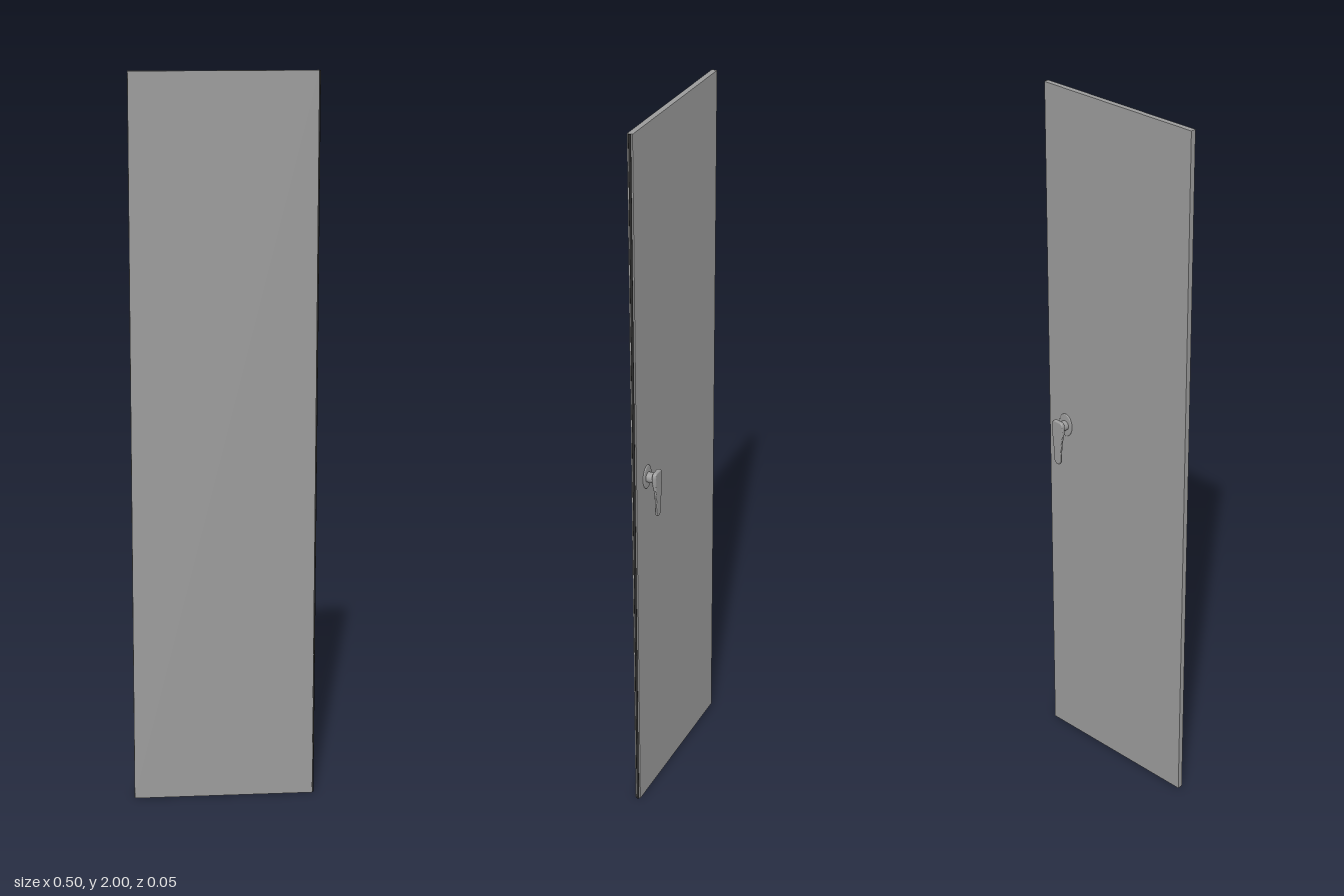
import * as THREE from 'three';

const grey = new THREE.MeshStandardMaterial({ color: 0x9b9b9b });
const dark = new THREE.MeshStandardMaterial({ color: 0x2a2a2a });

function addPart(parent, name, geometry, x = 0, y = 0, z = 0, material = grey) {
  const mesh = new THREE.Mesh(geometry, material);
  mesh.name = name;
  mesh.position.set(x, y, z);
  parent.add(mesh);
  return mesh;
}

// Tapered paddle outline: wide rounded head, narrower rounded tip
function gripShape() {
  const s = new THREE.Shape();
  s.moveTo(-0.008, 0.02);
  s.lineTo(0.008, 0.02);
  s.bezierCurveTo(0.015, 0.02, 0.0175, 0.015, 0.0175, 0.008);
  s.bezierCurveTo(0.0175, -0.02, 0.01, -0.05, 0.009, -0.097);
  s.bezierCurveTo(0.0085, -0.111, -0.0085, -0.111, -0.009, -0.097);
  s.bezierCurveTo(-0.01, -0.05, -0.0175, -0.02, -0.0175, 0.008);
  s.bezierCurveTo(-0.0175, 0.015, -0.015, 0.02, -0.008, 0.02);
  return s;
}

// Grip with rounded edges, its inner face thinning below the head
function gripGeometry() {
  const geometry = new THREE.ExtrudeGeometry(gripShape(), {
    depth: 0.0046,
    bevelEnabled: true,
    bevelThickness: 0.0035,
    bevelSize: 0.0035,
    bevelSegments: 4,
    curveSegments: 16,
  });
  geometry.translate(0, 0, 0.0035);
  const p = geometry.attributes.position;
  for (let i = 0; i < p.count; i++) {
    const thin = THREE.MathUtils.smoothstep(-p.getY(i), 0.005, 0.04);
    p.setZ(i, p.getZ(i) * (1 - 0.4 * thin));
  }
  geometry.computeVertexNormals();
  return geometry;
}

export function createModel() {
  const model = new THREE.Group();
  model.name = 'doorPanel';

  // Flat door leaf
  addPart(model, 'leaf', new THREE.BoxGeometry(0.498, 2, 0.015), -0.0025, 1, 0.0165);

  // Slim dark seal along the closing edge, half sunk into the leaf
  const seal = new THREE.CylinderGeometry(0.0035, 0.0035, 2, 16);
  addPart(model, 'edgeSeal', seal, 0.2475, 1, 0.0165, dark);

  // Lever handle on the back
  const handle = new THREE.Group();
  handle.name = 'handle';
  handle.position.set(0.185, 1.027, 0.009);
  model.add(handle);

  // Oval rosette with a softened rim
  const rosette = new THREE.LatheGeometry([
    new THREE.Vector2(0.0235, 0),
    new THREE.Vector2(0.0235, 0.002),
    new THREE.Vector2(0.0215, 0.0038),
    new THREE.Vector2(0, 0.0038),
  ], 40);
  rosette.rotateX(-Math.PI / 2);
  addPart(handle, 'rosette', rosette).scale.y = 1.45;

  // Round neck between rosette and grip
  const neck = new THREE.CylinderGeometry(0.014, 0.014, 0.026, 32);
  neck.rotateX(Math.PI / 2);
  addPart(handle, 'neck', neck, 0, 0, -0.0145);

  // Hanging grip
  addPart(handle, 'grip', gripGeometry(), 0, 0, -0.0355);

  return model;
}
